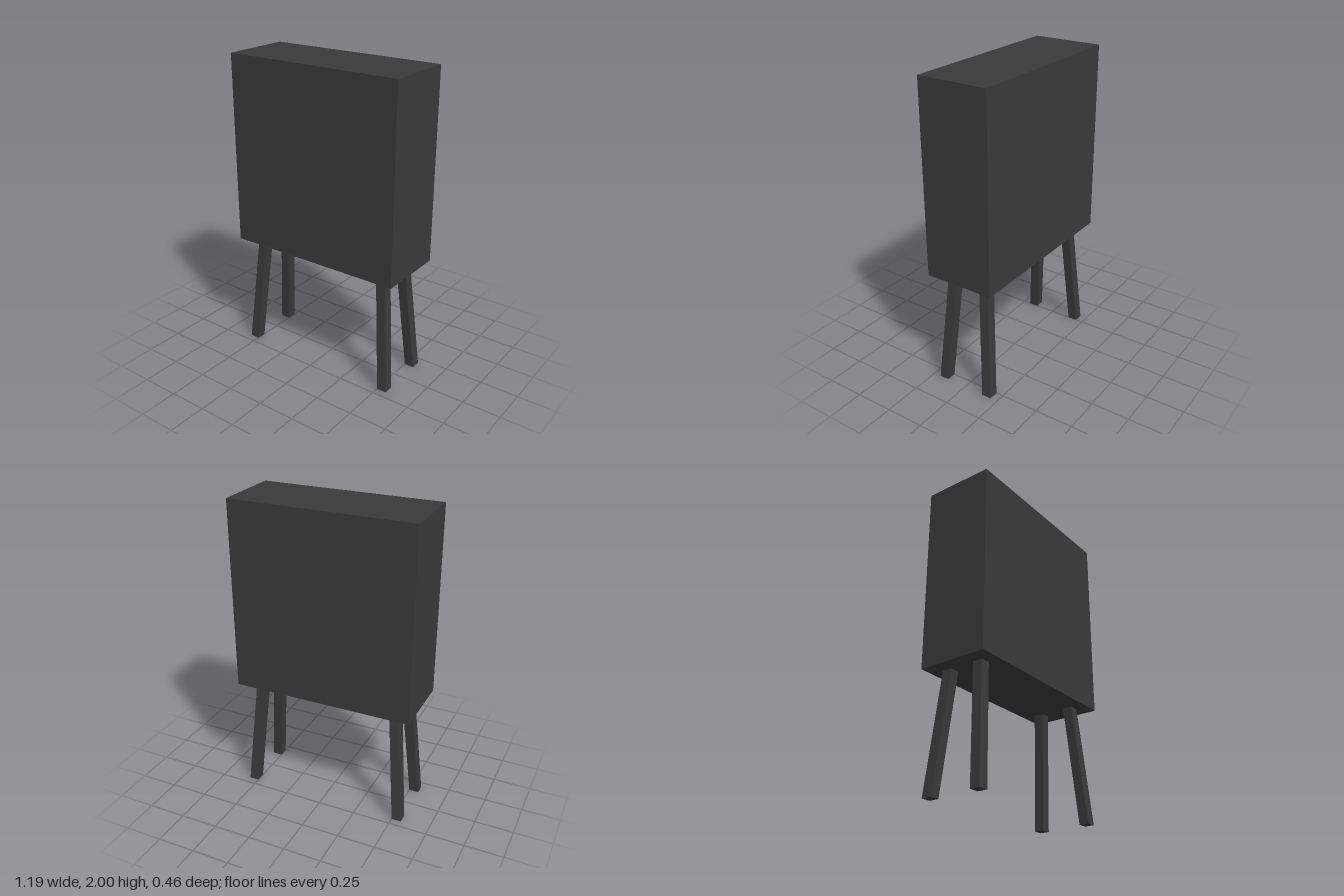
import * as THREE from 'three';

const BODY = { width: 1.186, depth: 0.46, bottom: 0.762, top: 2 };
const LEG = { size: 0.064, topX: 0.467, topZ: 0.114, footX: 0.532, footZ: 0.169 };

// Square leg, sheared so it splays outward while its foot stays flat
function splayedLeg(sx, sz) {
  const geo = new THREE.BoxGeometry(LEG.size, BODY.bottom, LEG.size);
  geo.translate(0, BODY.bottom / 2, 0);
  const pos = geo.attributes.position;
  for (let i = 0; i < pos.count; i++) {
    const t = pos.getY(i) / BODY.bottom;
    pos.setX(i, pos.getX(i) + sx * THREE.MathUtils.lerp(LEG.footX, LEG.topX, t));
    pos.setZ(i, pos.getZ(i) + sz * THREE.MathUtils.lerp(LEG.footZ, LEG.topZ, t));
  }
  geo.computeVertexNormals();
  return geo;
}

export function createModel() {
  const model = new THREE.Group();
  model.name = 'cabinetOnLegs';
  const dark = new THREE.MeshStandardMaterial({ color: 0x3a3a3a });

  // Cabinet box
  const height = BODY.top - BODY.bottom;
  const body = new THREE.Mesh(new THREE.BoxGeometry(BODY.width, height, BODY.depth), dark);
  body.name = 'cabinet';
  body.position.y = BODY.bottom + height / 2;
  model.add(body);

  // Four splayed legs
  for (const sx of [-1, 1]) {
    for (const sz of [-1, 1]) {
      const leg = new THREE.Mesh(splayedLeg(sx, sz), dark);
      leg.name = (sz > 0 ? 'front' : 'back') + (sx > 0 ? 'Left' : 'Right') + 'Leg';
      model.add(leg);
    }
  }
  return model;
}
